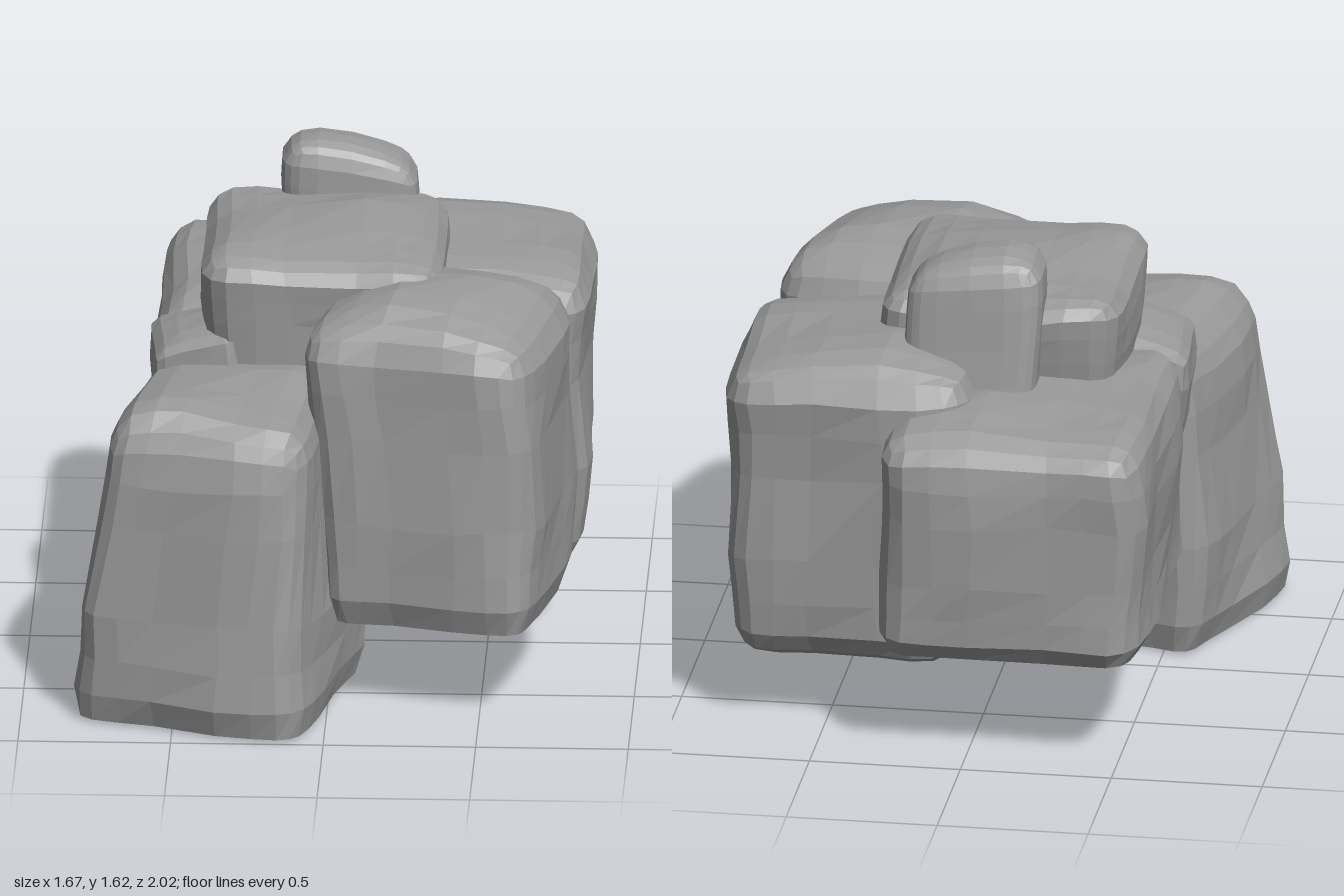
import * as THREE from 'three';

const material = new THREE.MeshStandardMaterial({ color: 0x999999, flatShading: true });
const { lerp, clamp } = THREE.MathUtils;
const axes = ['x', 'y', 'z'];

// A worn boulder: a rounded box that tapers, twists and shifts from foot to crown.
// foot and crown are [x, z, width, depth]; y is [bottom, top]; tilt is the rise of the crown along x.
function rock(name, { foot, crown, y: [low, high], yaw = 0, twist = 0, dome = 0, tilt = 0, r = 0.3, rTop = 0.25, rBase = 0.08, rough = 0.013, seg = 7, seed }) {
  const geo = new THREE.BoxGeometry(2, 2, 2, seg, seg, seg);
  const pos = geo.attributes.position;
  const p = new THREE.Vector3(), inner = new THREE.Vector3(), R = new THREE.Vector3();
  const chip = (a, b, c, s) => rough * (Math.sin(a * 7 + s + seed) * Math.cos(b * 9 - s * 2 + seed) + 0.6 * Math.sin(c * 13 + a * 11 + s * 3));
  for (let i = 0; i < pos.count; i++) {
    p.fromBufferAttribute(pos, i);
    // Crowd the loops towards the edges, then round the edges
    for (const a of axes) p[a] = Math.sign(p[a]) * Math.abs(p[a]) ** 0.65;
    R.set(r, p.y > 0 ? rTop : rBase, r);
    for (const a of axes) inner[a] = clamp(p[a], R[a] - 1, 1 - R[a]);
    p.sub(inner).divide(R).normalize().multiply(R).add(inner);
    // Taper, twist and shift with height
    const h = (p.y + 1) / 2;
    const [cx, cz, w, d] = foot.map((f, k) => lerp(f, crown[k], h));
    const angle = yaw + twist * h, u = p.x * w / 2, v = p.z * d / 2;
    const x = cx + u * Math.cos(angle) - v * Math.sin(angle);
    const z = cz + u * Math.sin(angle) + v * Math.cos(angle);
    const y = lerp(low, high + tilt * p.x + dome * (1 - p.x * p.x) * (1 - p.z * p.z), h);
    // Chipped surface, flat underside
    pos.setXYZ(i, x + chip(y, z, x, 1), y + chip(x, z, y, 2) * Math.min(1, h * 3), z + chip(x, y, z, 4));
  }
  geo.computeVertexNormals();
  const mesh = new THREE.Mesh(geo, material);
  mesh.name = name;
  return mesh;
}

export function createModel() {
  const group = new THREE.Group();
  group.name = 'boulderPile';
  // Ground boulder carrying the pile
  group.add(rock('frontRightBoulder', {
    foot: [-0.36, 0.55, 0.82, 0.82], crown: [-0.33, 0.49, 0.66, 0.8], y: [0, 1.06],
    yaw: 0.3, twist: -0.14, dome: 0.03, rTop: 0.38, rBase: 0.06, seed: 0.5,
  }));
  // Tall boulder at the front
  group.add(rock('frontLeftBoulder', {
    foot: [0.4, 0.39, 0.71, 0.79], crown: [0.34, 0.36, 0.8, 0.72], y: [0.3, 1.3],
    yaw: 0.19, dome: 0.1, r: 0.36, rTop: 0.28, rBase: 0.06, seed: 1.7,
  }));
  // Back boulders
  group.add(rock('backLeftBoulder', {
    foot: [0.43, -0.37, 0.77, 0.75], crown: [0.42, -0.38, 0.82, 0.82], y: [0.23, 1.27],
    dome: 0.04, tilt: -0.01, r: 0.36, rBase: 0.24, rTop: 0.2, seed: 3.1,
  }));
  group.add(rock('backRightBoulder', {
    foot: [-0.15, -0.45, 0.88, 1.08], crown: [-0.15, -0.46, 0.89, 1.08], y: [0.35, 1.13],
    dome: 0.05, rBase: 0.12, rTop: 0.32, seed: 4.4,
  }));
  // Wedge stone filling the gap on the right
  group.add(rock('wedgeStone', {
    foot: [-0.37, 0.11, 0.3, 0.22], crown: [-0.46, 0.15, 0.3, 0.44], y: [0.42, 1.14],
    tilt: 0.05, dome: 0.02, rTop: 0.15, seg: 5, seed: 2.2,
  }));
  // Slab on top
  group.add(rock('topSlab', {
    foot: [-0.04, -0.05, 0.72, 0.7], crown: [-0.03, -0.04, 0.81, 0.84], y: [0.85, 1.42],
    dome: 0.05, rTop: 0.25, seed: 5.3,
  }));
  // Small capstone
  group.add(rock('capstone', {
    foot: [0.04, -0.46, 0.44, 0.32], crown: [0.04, -0.41, 0.45, 0.25], y: [1.05, 1.57],
    tilt: -0.04, dome: 0.03, r: 0.45, rTop: 0.32, rough: 0.008, seg: 6, seed: 0.2,
  }));
  return group;
}
